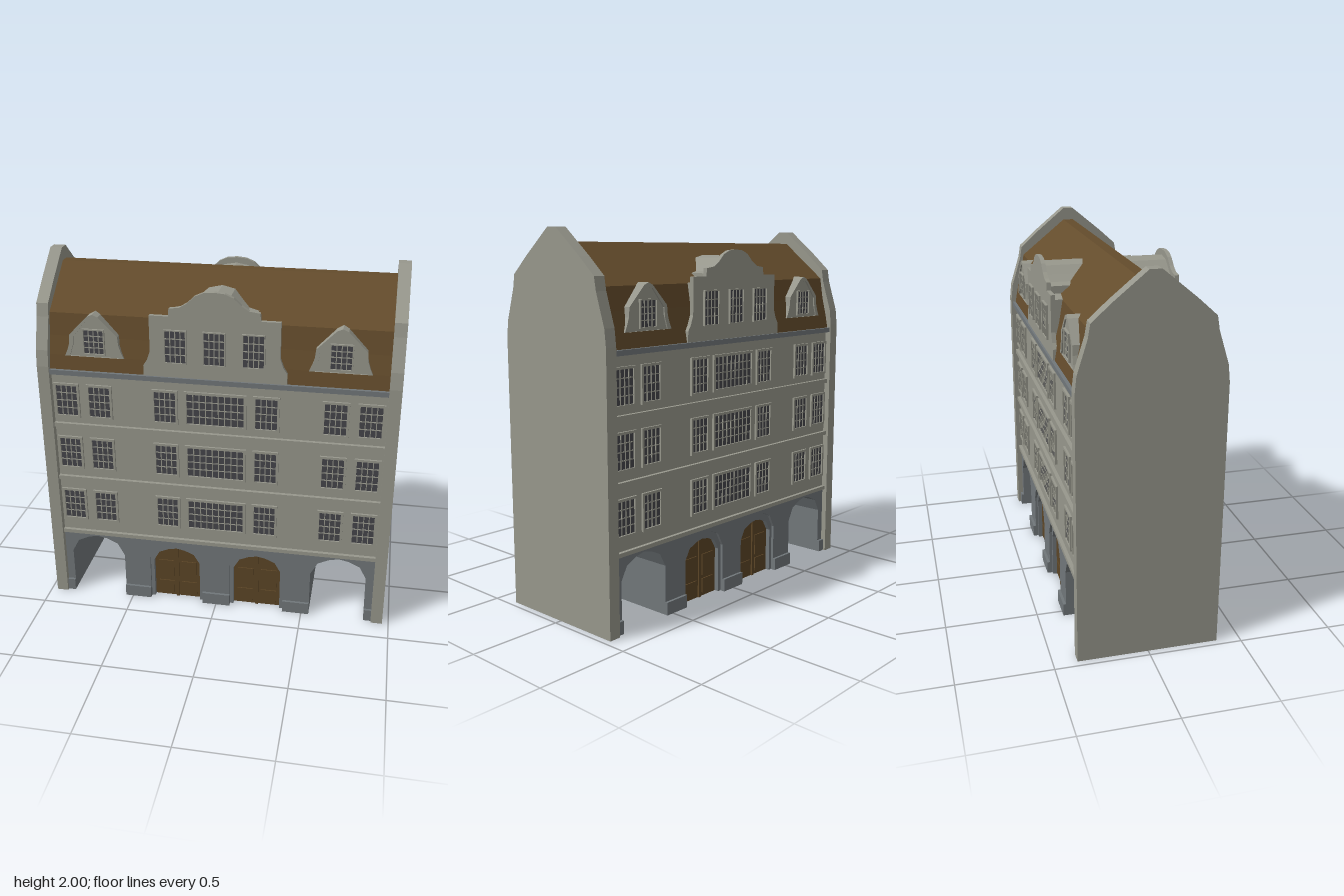
import * as THREE from 'three';

const mat = (name, color) => {
  const m = new THREE.MeshStandardMaterial({ color });
  m.name = name;
  return m;
};

export function createModel() {
  const stone = mat('warm grey stone', 0x97978c);
  const slate = mat('blue grey stone', 0x71777a);
  const tile = mat('brown roof tile', 0x644c2c);
  const wood = mat('brown door wood', 0x5c4526);
  const glass = mat('dark glass', 0x45454a);

  const house = new THREE.Group();
  house.name = 'townHouse';

  const add = (parent, name, geo, material) => {
    const m = new THREE.Mesh(geo, material);
    m.name = name;
    parent.add(m);
    return m;
  };
  // Box given by its limits
  const box = (parent, name, material, x0, x1, y0, y1, z0, z1) =>
    add(parent, name, new THREE.BoxGeometry(x1 - x0, y1 - y0, z1 - z0)
      .translate((x0 + x1) / 2, (y0 + y1) / 2, (z0 + z1) / 2), material);
  const toShape = pts => new THREE.Shape(pts.map(p => new THREE.Vector2(p[0], p[1])));
  const slab = (pts, z0, z1, hole) => {
    const s = toShape(pts);
    if (hole) s.holes.push(toShape(hole));
    return new THREE.ExtrudeGeometry(s, { depth: z1 - z0, bevelEnabled: false }).translate(0, 0, z0);
  };
  // Right half outline, bottom to top, mirrored to a closed outline centred on cx
  const mirrored = (half, cx = 0) => [
    ...half.map(([x, y]) => [cx + x, y]),
    ...half.filter(p => p[0] > 0).reverse().map(([x, y]) => [cx - x, y]),
  ];
  const rect = (x0, x1, y0, y1) => [[x0, y0], [x1, y0], [x1, y1], [x0, y1]];
  // Faceted arch, left foot to right foot
  const arch = (cx, w, spring, top) => {
    const h = top - spring;
    return [[-1, 0], [-1, spring], [-0.75, spring + h * 0.64], [-0.35, spring + h * 0.9], [0, top],
      [0.35, spring + h * 0.9], [0.75, spring + h * 0.64], [1, spring]]
      .map(([x, y]) => [cx + x * w, y]).concat([[cx + w, 0]]);
  };
  // Ground floor outline with arches cut from its lower edge
  const arcade = (arches, x = 0.9, top = 0.4) => [[-x, 0], ...arches.flat(), [x, 0], [x, top], [-x, top]];

  // Gabled end walls and main roof, as profiles swept along x
  const sweep = (half, x0, x1) => slab(mirrored(half), 0, x1 - x0).rotateY(Math.PI / 2).translate(x0, 0, 0);
  const endProfile = [[0.375, 0], [0.375, 1.44], [0.365, 1.53], [0.34, 1.61], [0.312, 1.7],
    [0.3, 1.77], [0.2, 1.86], [0.03, 2]];
  add(house, 'rightEndWall', sweep(endProfile, -0.965, -0.9), stone);
  add(house, 'leftEndWall', sweep(endProfile, 0.9, 0.965), stone);
  add(house, 'mainRoof', sweep([[0.35, 1.42], [0.335, 1.5], [0.31, 1.6], [0.29, 1.72], [0.03, 1.93]],
    -0.9, 0.9), tile);

  // Upper storeys, and the ground floor core with two open passages
  box(house, 'upperStoreys', stone, -0.9, 0.9, 0.4, 1.42, -0.34, 0.34);
  const passages = [arch(-0.7, 0.157, 0.27, 0.385), arch(0.7, 0.157, 0.27, 0.385)];
  add(house, 'groundFloorCore', slab(arcade(passages), -0.29, 0.29), slate);

  // Window with frame, glass and glazing bars, standing on a wall at depth z
  const addWindow = (parent, x0, x1, y0, y1, z, cols, rows, frame) => {
    const g = new THREE.Group();
    g.name = 'window';
    parent.add(g);
    const a = x0 + frame, b = x1 - frame, c = y0 + frame, d = y1 - frame;
    add(g, 'windowFrame', slab(rect(x0, x1, y0, y1), z, z + 0.012, rect(a, b, c, d)), stone);
    box(g, 'windowGlass', glass, a, b, c, d, z - 0.002, z + 0.003);
    for (let i = 1; i < cols; i++) {
      const x = a + (b - a) * i / cols;
      box(g, 'uprightBar', stone, x - 0.0025, x + 0.0025, c, d, z, z + 0.007);
    }
    for (let j = 1; j < rows; j++) {
      const y = c + (d - c) * j / rows;
      box(g, 'crossBar', stone, a, b, y - 0.0025, y + 0.0025, z, z + 0.006);
    }
  };

  const buildFacade = () => {
    const f = new THREE.Group();

    // Arcade face with recessed door surrounds
    const outer = [-0.235, 0.235].map(x => arch(x, 0.155, 0.27, 0.385));
    const inner = [-0.235, 0.235].map(x => arch(x, 0.135, 0.25, 0.34));
    add(f, 'arcadeFace', slab(arcade([passages[0], ...outer, passages[1]]), 0.29, 0.345), slate);
    add(f, 'doorSurround', slab([[-0.4, 0], ...inner.flat(), [0.4, 0], [0.4, 0.395], [-0.4, 0.395]],
      0.285, 0.33), slate);
    for (const [x0, x1] of [[-0.543, -0.39], [-0.08, 0.08], [0.39, 0.543], [0.857, 0.9], [-0.9, -0.857]])
      box(f, 'pierPlinth', slate, x0, x1, 0, 0.07, 0.34, 0.36);

    // Double doors with raised panels
    inner.forEach((outline, i) => {
      const cx = i ? 0.235 : -0.235;
      add(f, 'door', slab(outline, 0.285, 0.305), wood);
      box(f, 'doorMiddleRail', wood, cx - 0.008, cx + 0.008, 0, 0.335, 0.3, 0.314);
      for (const s of [-1, 1])
        for (const [y0, y1] of [[0.02, 0.1], [0.12, 0.24]])
          box(f, 'doorPanel', wood, cx + s * 0.068 - 0.045, cx + s * 0.068 + 0.045, y0, y1, 0.3, 0.311);
    });

    // String courses and eaves cornice
    for (const [y0, y1] of [[0.4, 0.422], [0.752, 0.775], [1.08, 1.105]])
      box(f, 'stringCourse', stone, -0.9, 0.9, y0, y1, 0.335, 0.36);
    box(f, 'eavesCornice', slate, -0.9, 0.9, 1.395, 1.422, 0.335, 0.368);

    // Three rows of windows
    for (const y of [0.49, 0.822, 1.14]) {
      addWindow(f, -0.168, 0.168, y, y + 0.2, 0.34, 9, 4, 0.014);
      for (const s of [-1, 1])
        for (const cx of [0.274, 0.637, 0.82])
          addWindow(f, s * cx - 0.071, s * cx + 0.071, y, y + 0.2, 0.34, 4, 4, 0.013);
    }

    // Curved central gable with its roof running back into the main roof
    const gable = [[0.38, 1.42], [0.38, 1.48], [0.36, 1.51], [0.342, 1.56], [0.342, 1.755], [0.24, 1.755],
      [0.236, 1.797], [0.18, 1.805], [0.14, 1.83], [0.1, 1.868], [0.055, 1.888], [0, 1.893]];
    add(f, 'centralGable', slab(mirrored(gable), 0.335, 0.358), stone);
    const gableRoof = [[0.31, 1.42], [0.31, 1.722], [0.212, 1.73], [0.212, 1.77], [0.16, 1.78],
      [0.12, 1.81], [0.07, 1.85], [0, 1.862]];
    add(f, 'centralGableRoof', slab(mirrored(gableRoof), 0.1, 0.338), stone);
    for (const x of [-0.205, 0, 0.205])
      addWindow(f, x - 0.06, x + 0.06, 1.5, 1.685, 0.358, 4, 4, 0.006);

    // Dormers
    for (const cx of [-0.65, 0.65]) {
      const body = [[0.135, 1.5], [0.115, 1.56], [0.11, 1.61], [0.03, 1.705], [0, 1.71]];
      const rim = [[0.162, 1.5], [0.148, 1.53], [0.135, 1.57], [0.13, 1.62], [0.03, 1.722], [0, 1.735]];
      add(f, 'dormerBody', slab(mirrored(body, cx), 0.23, 0.335), stone);
      add(f, 'dormerRim', slab(mirrored(rim, cx), 0.27, 0.343, mirrored(body, cx)), stone);
      addWindow(f, cx - 0.06, cx + 0.06, 1.512, 1.655, 0.335, 4, 4, 0.007);
    }
    return f;
  };

  // Same facade front and back
  const front = buildFacade();
  front.name = 'frontFacade';
  const back = buildFacade();
  back.name = 'backFacade';
  back.rotation.y = Math.PI;
  house.add(front, back);
  return house;
}
